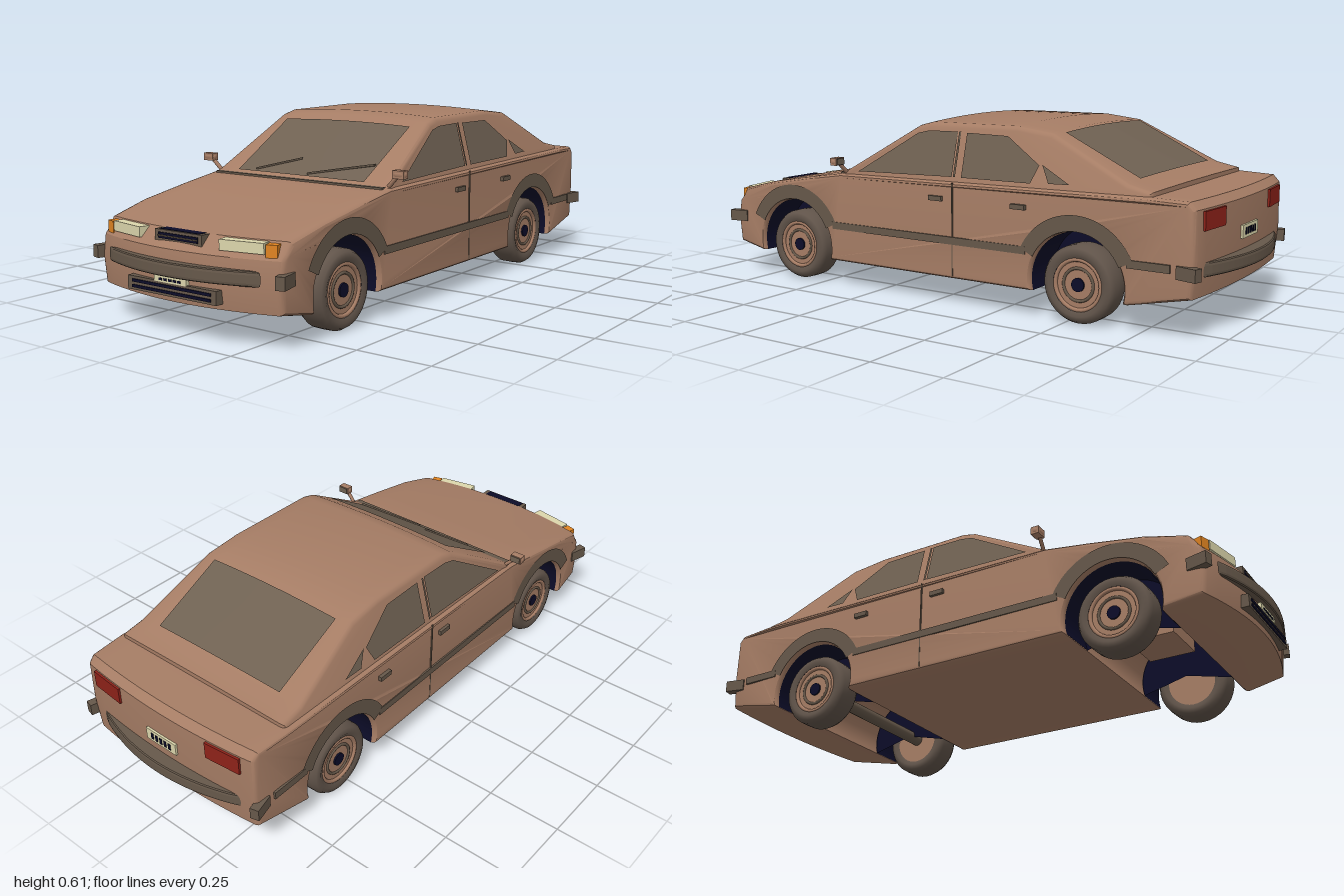
import * as THREE from 'three';
import { toCreasedNormals } from 'three/addons/utils/BufferGeometryUtils.js';

const mat = (name, color, side = THREE.FrontSide) => {
  const m = new THREE.MeshStandardMaterial({ color, side });
  m.name = name;
  return m;
};

export function createModel() {
  const car = new THREE.Group();
  car.name = 'car';
  const paint = mat('brown paint', 0xa67d65);
  const trim = mat('dark trim', 0x66584a, THREE.DoubleSide);
  const glass = mat('tinted glass', 0x6f6152, THREE.DoubleSide);
  const rubber = mat('tyre rubber', 0x61544a);
  const black = mat('dark recess', 0x0c0c28, THREE.DoubleSide);
  const cream = mat('cream lamp', 0xdcd6ac);
  const amber = mat('amber lamp', 0xe08422);
  const red = mat('red lamp', 0x8e2219);

  const add = (name, geo, material, x = 0, y = 0, z = 0, ry = 0) => {
    const m = new THREE.Mesh(geo, material);
    m.name = name;
    m.position.set(x, y, z);
    m.rotation.y = ry;
    car.add(m);
    return m;
  };
  const box = (name, w, h, d, material, x, y, z, ry) =>
    add(name, new THREE.BoxGeometry(w, h, d), material, x, y, z, ry);
  const rod = (name, a, b, r, material) => {
    const path = new THREE.LineCurve3(new THREE.Vector3(...a), new THREE.Vector3(...b));
    return add(name, new THREE.TubeGeometry(path, 1, r, 6), material);
  };
  const clamp = THREE.MathUtils.clamp;

  // Side profile (z, y) extruded across the car, then bent by a rule
  const across = (shape, half, rule) => {
    const bevel = 0.016;
    const g = new THREE.ExtrudeGeometry(shape, {
      depth: 2 * (half - bevel), steps: 14, curveSegments: 20,
      bevelThickness: bevel, bevelSize: 0.014, bevelOffset: -0.014, bevelSegments: 3,
    });
    g.translate(0, 0, bevel - half);
    g.rotateY(-Math.PI / 2);
    const p = g.attributes.position, v = new THREE.Vector3();
    for (let i = 0; i < p.count; i++) {
      rule(v.fromBufferAttribute(p, i));
      p.setXYZ(i, v.x, v.y, v.z);
    }
    return toCreasedNormals(g, 0.5);
  };

  // Lower body with wheel arches
  const W = 0.375, axles = [0.615, -0.545], hubY = 0.13, archR = 0.165;
  const body = new THREE.Shape();
  body.moveTo(0.965, 0.11);
  body.lineTo(0.79, 0.088);
  for (const z of axles) body.absarc(z, hubY, archR, -0.25, Math.PI + 0.25, false);
  for (const [z, y] of [[-0.72, 0.088], [-0.945, 0.13], [-0.957, 0.25], [-0.955, 0.395], [-0.93, 0.418],
    [-0.78, 0.422], [0.395, 0.405], [0.545, 0.382], [0.73, 0.35], [0.915, 0.315],
    [0.945, 0.285], [0.965, 0.265], [0.975, 0.2]]) body.lineTo(z, y);
  body.closePath();
  add('body', across(body, W, (v) => {
    const end = clamp((Math.abs(v.z) - 0.78) / 0.17, 0, 1);
    const curve = end * (v.x / W) ** 2;
    v.z -= v.z > 0 ? 0.06 * curve : -0.025 * curve;
    v.x *= 1 - 0.025 * end;
  }), paint);

  // Cabin, leaning inwards with a crowned roof
  const cabinHalf = (y) => 0.365 - 0.26 * Math.max(0, y - 0.4);
  const crown = (x, y) => 0.012 * clamp((y - 0.4) / 0.2, 0, 1) * (1 - (x / 0.32) ** 2);
  const cabin = new THREE.Shape([[0.4, 0.37], [0.4, 0.405], [0.09, 0.585], [0.04, 0.598], [-0.3, 0.6],
    [-0.43, 0.585], [-0.71, 0.452], [-0.79, 0.435], [-0.79, 0.37]].map((p) => new THREE.Vector2(...p)));
  add('cabin', across(cabin, 0.365, (v) => {
    v.x *= cabinHalf(v.y) / 0.365;
    v.y += crown(v.x, v.y);
  }), paint);

  // Windscreen and rear window, following the crown
  const screen = (name, [z0, y0], [z1, y1], lift) => {
    const g = new THREE.PlaneGeometry(0.53, 1, 14, 4), p = g.attributes.position;
    for (let i = 0; i < p.count; i++) {
      const t = p.getY(i) + 0.5, y = y0 + (y1 - y0) * t;
      p.setXYZ(i, p.getX(i), y + crown(p.getX(i), y) + 0.005, z0 + (z1 - z0) * t + lift);
    }
    g.computeVertexNormals();
    add(name, g, glass);
  };
  screen('windscreen', [0.387, 0.4125], [0.125, 0.565], 0.003);
  screen('rearWindow', [-0.705, 0.4545], [-0.445, 0.578], -0.003);
  for (const [a, b] of [[-0.19, -0.04], [0.03, 0.26]])
    rod('wiper', [a, 0.425, 0.381], [b, 0.464, 0.318], 0.004, trim);
  box('cowl', 0.7, 0.012, 0.02, trim, 0, 0.403, 0.402);

  // Side windows: flat outlines (z, y) laid on the leaning cabin
  const sidePane = (name, points, s, material, lift) => {
    const g = new THREE.ShapeGeometry(new THREE.Shape(points.map((q) => new THREE.Vector2(...q))));
    const p = g.attributes.position;
    for (let i = 0; i < p.count; i++) {
      const z = p.getX(i), y = p.getY(i);
      p.setXYZ(i, s * (cabinHalf(y) + lift), y, z);
    }
    g.computeVertexNormals();
    add(name, g, material);
  };
  const panes = {
    frontSideWindow: [[0.32, 0.418], [0.085, 0.562], [0.04, 0.572], [-0.075, 0.574], [-0.075, 0.428]],
    rearSideWindow: [[-0.112, 0.428], [-0.112, 0.572], [-0.27, 0.57], [-0.4, 0.487], [-0.375, 0.43]],
    quarterWindow: [[-0.41, 0.49], [-0.515, 0.436], [-0.44, 0.434]],
  };

  // Plain shapes shared by both sides
  const arch = new THREE.RingGeometry(0.167, 0.218, 32, 1, 0.45, Math.PI - 0.9).rotateY(Math.PI / 2);
  const liner = new THREE.CylinderGeometry(0.163, 0.163, 0.14, 28, 1, true, -Math.PI / 2 - 0.25, Math.PI + 0.5)
    .rotateX(-Math.PI / 2).rotateY(Math.PI / 2);
  const linerWall = new THREE.CircleGeometry(0.163, 28, -0.25, Math.PI + 0.5).rotateY(Math.PI / 2);
  const tyre = new THREE.LatheGeometry([[0.085, -0.045], [0.1, -0.052], [0.116, -0.047], [0.125, -0.032],
    [0.126, 0], [0.125, 0.032], [0.116, 0.047], [0.1, 0.052], [0.085, 0.045]]
    .map((p) => new THREE.Vector2(...p)), 36).rotateZ(Math.PI / 2);
  const disc = (r, w) => new THREE.CylinderGeometry(r, r, w, 32).rotateZ(Math.PI / 2);
  const rimDisc = disc(0.087, 0.08), hubDisc = disc(0.022, 0.012);
  const rimRing = new THREE.TorusGeometry(0.08, 0.007, 8, 32).rotateY(Math.PI / 2);
  const hubRing = new THREE.TorusGeometry(0.052, 0.005, 8, 32).rotateY(Math.PI / 2);

  for (const s of [1, -1]) {
    for (const name in panes) sidePane(name, panes[name], s, glass, 0.004);
    sidePane('doorPillar', [[-0.08, 0.428], [-0.08, 0.574], [-0.088, 0.574], [-0.088, 0.428]], s, trim, 0.004);

    // Wheels, arches and wheel wells
    for (const z of axles) {
      add('tyre', tyre, rubber, s * 0.312, hubY - 0.004, z);
      add('rim', rimDisc, paint, s * 0.31, hubY - 0.004, z);
      add('rimRing', rimRing, paint, s * 0.352, hubY - 0.004, z);
      add('hubRing', hubRing, trim, s * 0.35, hubY - 0.004, z);
      add('hub', hubDisc, black, s * 0.35, hubY - 0.004, z);
      add('archTrim', arch, trim, s * 0.3775, hubY, z);
      add('wheelWell', liner, black, s * 0.288, hubY, z);
      add('wheelWellWall', linerWall, black, s * 0.22, hubY, z);
    }

    // Rub strips, door seam, handles
    for (const [z, d] of [[0.034, 0.8], [-0.79, 0.14]])
      box('rubStrip', 0.008, 0.025, d, trim, s * 0.374, 0.218, z);
    box('doorSeam', 0.004, 0.31, 0.004, trim, s * 0.374, 0.255, -0.085);
    for (const z of [-0.02, -0.34]) box('doorHandle', 0.014, 0.016, 0.052, trim, s * 0.376, 0.355, z);

    // Bumper ends
    box('frontBumperEnd', 0.03, 0.04, 0.07, trim, s * 0.367, 0.21, 0.9, s * 0.25);
    box('rearBumperEnd', 0.03, 0.04, 0.07, trim, s * 0.367, 0.21, -0.915, -s * 0.25);

    // Mirrors
    add('mirror', new THREE.CapsuleGeometry(0.015, 0.018, 4, 10).rotateZ(Math.PI / 2), paint, s * 0.4, 0.452, 0.385);
    box('mirrorHousing', 0.042, 0.026, 0.026, paint, s * 0.4, 0.452, 0.385);
    box('mirrorGlass', 0.036, 0.022, 0.004, glass, s * 0.4, 0.452, 0.37);
    rod('mirrorStalk', [s * 0.355, 0.41, 0.38], [s * 0.39, 0.445, 0.385], 0.007, paint);

    // Lamps
    box('headlamp', 0.146, 0.032, 0.035, cream, s * 0.23, 0.296, 0.914, s * 0.19);
    box('turnSignal', 0.036, 0.038, 0.035, amber, s * 0.322, 0.29, 0.894, s * 0.3);
    box('tailLamp', 0.13, 0.058, 0.012, red, s * 0.255, 0.36, -0.944, -s * 0.09);
  }

  // Bowed bumper strips, thickest in the middle
  const bow = new THREE.Shape();
  bow.moveTo(-0.3, 0);
  bow.quadraticCurveTo(0, 0.116, 0.3, 0);
  const strip = (turn) => new THREE.ExtrudeGeometry(bow, {
    depth: 0.024, curveSegments: 24, bevelThickness: 0.01, bevelSize: 0.005, bevelSegments: 2,
  }).translate(0, 0, -0.012).rotateX(turn * Math.PI / 2);
  add('frontBumperStrip', strip(1), trim, 0, 0.212, 0.937);
  add('rearBumperStrip', strip(-1), trim, 0, 0.212, -0.937);

  // Upper and lower grilles
  box('noseGrille', 0.19, 0.034, 0.04, trim, 0, 0.298, 0.925);
  box('noseSlot', 0.16, 0.018, 0.006, black, 0, 0.298, 0.945);
  box('noseSlotTop', 0.16, 0.005, 0.03, black, 0, 0.314, 0.925);
  box('noseBar', 0.16, 0.004, 0.006, trim, 0, 0.298, 0.949);
  box('lowerGrille', 0.36, 0.042, 0.04, trim, 0, 0.149, 0.96);
  for (const y of [0.14, 0.157]) box('lowerGrilleSlot', 0.32, 0.009, 0.006, black, 0, y, 0.98);

  // Blank plates with plain dark bars
  box('frontPlate', 0.13, 0.022, 0.02, cream, 0, 0.179, 0.972);
  box('rearPlate', 0.13, 0.042, 0.01, cream, 0, 0.29, -0.958);
  for (let i = -2; i <= 2; i++) {
    box('frontPlateBar', 0.012, 0.007, 0.004, black, i * 0.019, 0.177, 0.982);
    box('rearPlateBar', 0.01, 0.022, 0.004, black, i * 0.019, 0.29, -0.963);
  }

  // Underside parts between the wheels
  box('engineSump', 0.18, 0.1, 0.16, paint, 0, 0.2, 0.62);
  add('rearAxle', disc(0.022, 0.56), trim, 0, hubY, axles[1]);
  return car;
}
